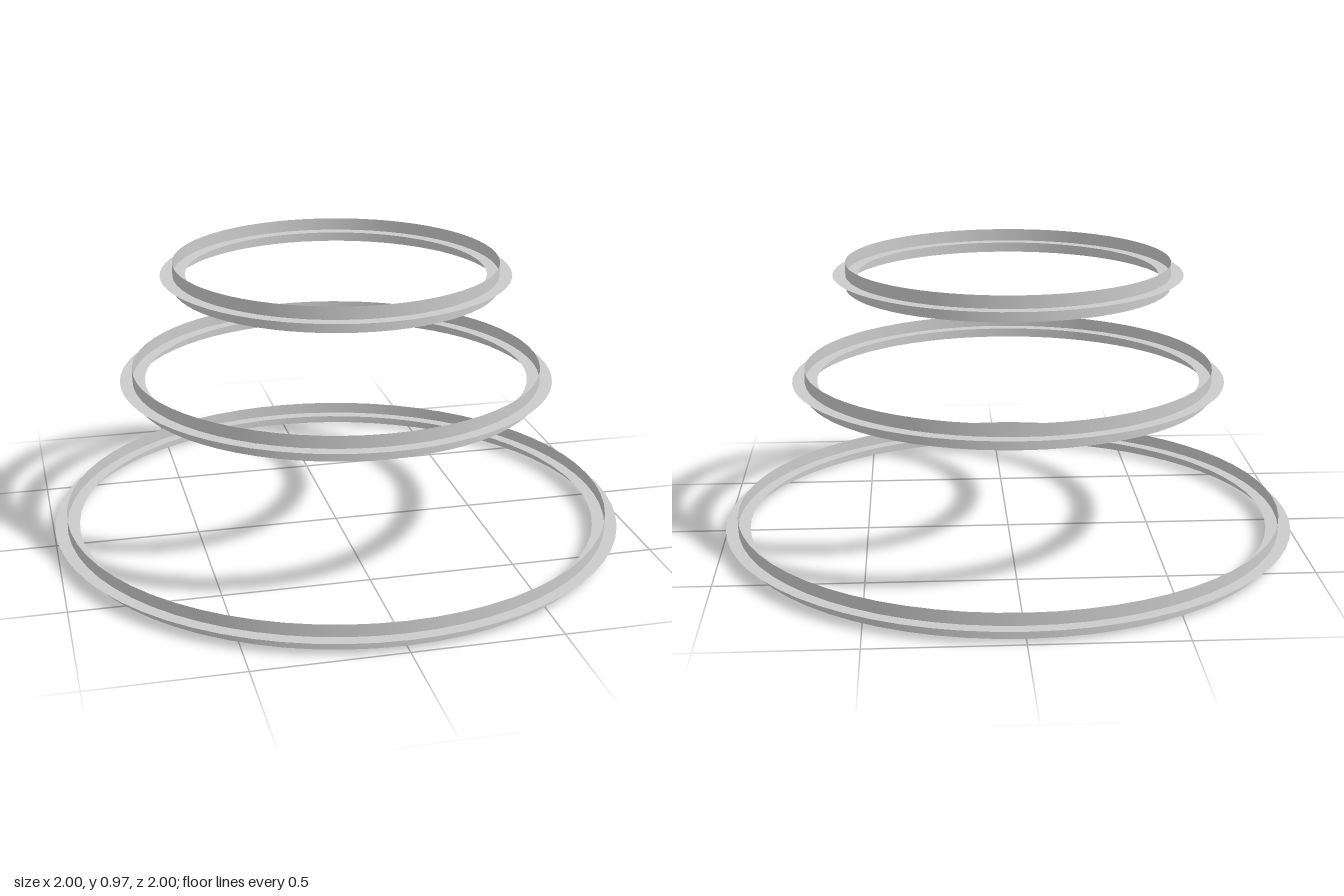
import * as THREE from 'three';

const SEGMENTS = 64;
const WIDTH = 0.086; // height of each band and breadth of each flat ring

// [name, mid radius, centre height]
const RINGS = [
  ['lowerRing', 0.957, 0.043],
  ['middleRing', 0.707, 0.561],
  ['upperRing', 0.557, 0.93],
];

const material = new THREE.MeshStandardMaterial({ color: 0xcccccc, side: THREE.DoubleSide });

// A thin ring with a plus-shaped section: an upright band crossed by a flat ring
function makeRing(name, radius, y) {
  const ring = new THREE.Group();
  ring.name = name;
  ring.position.y = y;

  const band = new THREE.Mesh(
    new THREE.CylinderGeometry(radius, radius, WIDTH, SEGMENTS, 1, true), material);
  band.name = 'uprightBand';

  const flat = new THREE.Mesh(
    new THREE.RingGeometry(radius - WIDTH / 2, radius + WIDTH / 2, SEGMENTS).rotateX(-Math.PI / 2), material);
  flat.name = 'flatRing';

  ring.add(band, flat);
  return ring;
}

export function createModel() {
  const model = new THREE.Group();
  model.name = 'stackedRings';
  for (const [name, radius, y] of RINGS) model.add(makeRing(name, radius, y));
  return model;
}
